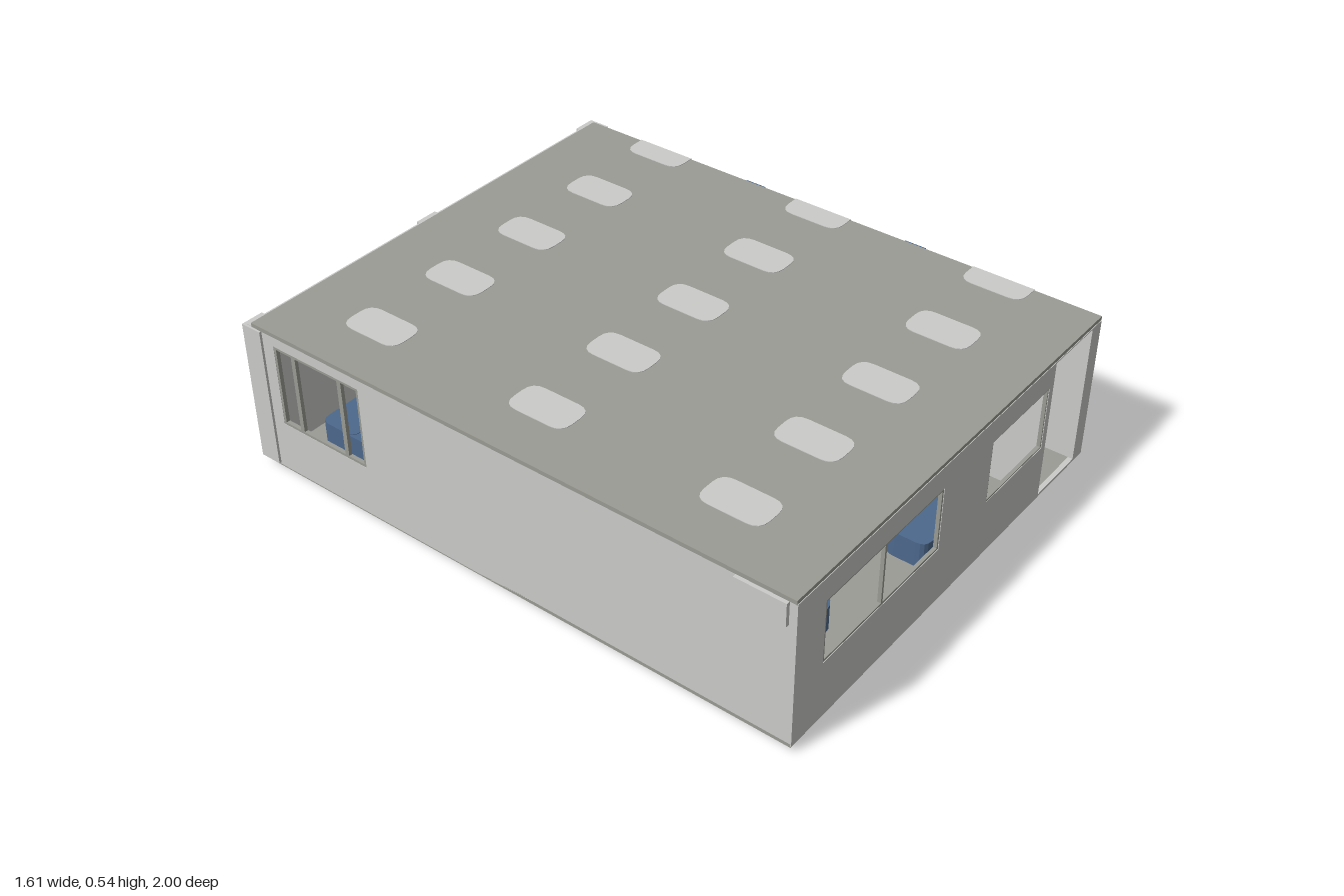
import * as THREE from 'three';

export function createModel() {
  const model = new THREE.Group();
  const mat = (name, color) => new THREE.MeshStandardMaterial({ name, color });
  const wallMat = mat('pale wall', 0xcbcbc9);
  const slabMat = mat('grey slab', 0x9c9c95);
  const blueMat = mat('blue', 0x4d698d);

  const add = (name, geo, material) => {
    const mesh = new THREE.Mesh(geo, material);
    mesh.name = name;
    model.add(mesh);
    return mesh;
  };
  // Box given by its limits on each axis
  const box = (name, x0, x1, y0, y1, z0, z1, material) => {
    const mesh = add(name, new THREE.BoxGeometry(x1 - x0, y1 - y0, z1 - z0), material);
    mesh.position.set((x0 + x1) / 2, (y0 + y1) / 2, (z0 + z1) / 2);
    return mesh;
  };
  const trace = (path, a0, a1, b0, b1) => {
    path.moveTo(a0, b0);
    path.lineTo(a1, b0);
    path.lineTo(a1, b1);
    path.lineTo(a0, b1);
    path.closePath();
    return path;
  };
  // Upright panel with rectangular openings
  const panel = (name, limits, holes, depth, material) => {
    const shape = trace(new THREE.Shape(), ...limits);
    holes.forEach(h => shape.holes.push(trace(new THREE.Path(), ...h)));
    return add(name, new THREE.ExtrudeGeometry(shape, { depth, bevelEnabled: false }), material);
  };
  const frame = (name, [a0, a1, b0, b1], t, depth) =>
    panel(name, [a0, a1, b0, b1], [[a0 + t, a1 - t, b0 + t, b1 - t]], depth, slabMat);
  // Flat block with rounded plan corners
  const rounded = (name, x0, x1, z0, z1, y0, y1, r, material) => {
    const s = new THREE.Shape();
    const [a, b] = [-z1, -z0];
    s.moveTo(x0 + r, a);
    s.lineTo(x1 - r, a);
    s.quadraticCurveTo(x1, a, x1, a + r);
    s.lineTo(x1, b - r);
    s.quadraticCurveTo(x1, b, x1 - r, b);
    s.lineTo(x0 + r, b);
    s.quadraticCurveTo(x0, b, x0, b - r);
    s.lineTo(x0, a + r);
    s.quadraticCurveTo(x0, a, x0 + r, a);
    const geo = new THREE.ExtrudeGeometry(s, { depth: y1 - y0, bevelEnabled: false, curveSegments: 4 });
    geo.rotateX(-Math.PI / 2);
    add(name, geo, material).position.y = y0;
  };

  // Floor and roof slabs
  box('floor', -0.795, 0.775, 0.02, 0.032, -0.965, 0.998, slabMat);
  box('roof', -0.797, 0.777, 0.521, 0.535, -0.965, 0.998, slabMat);

  // Skylights; the last column stops at the roof edge
  for (const z of [-0.645, -0.002, 0.664]) {
    for (const x of [-0.575, -0.24, 0.09, 0.425]) {
      rounded('skylight', x - 0.063, x + 0.063, z - 0.107, z + 0.107, 0.52, 0.537, 0.045, wallMat);
    }
    const s = new THREE.Shape();
    s.moveTo(0.779, -z - 0.107);
    s.lineTo(0.779, -z + 0.107);
    s.lineTo(0.735, -z + 0.107);
    s.quadraticCurveTo(0.692, -z + 0.107, 0.692, -z + 0.062);
    s.lineTo(0.692, -z - 0.062);
    s.quadraticCurveTo(0.692, -z - 0.107, 0.735, -z - 0.107);
    s.closePath();
    const geo = new THREE.ExtrudeGeometry(s, { depth: 0.017, bevelEnabled: false, curveSegments: 4 });
    geo.rotateX(-Math.PI / 2);
    add('edgeSkylight', geo, wallMat).position.y = 0.52;
  }

  // Outer walls
  const bigWindow = [-0.665, -0.1, 0.225, 0.442];
  const smallWindow = [0.158, 0.478, 0.225, 0.442];
  panel('frontWall', [-0.795, 0.775, 0.024, 0.522],
    [bigWindow, smallWindow, [0.502, 0.72, 0.033, 0.518]], 0.016, wallMat).position.z = 0.984;
  box('leftWall', 0.76, 0.775, 0.024, 0.522, -0.97, 0.984, wallMat);
  box('backWall', -0.795, 0.785, 0.024, 0.522, -0.986, -0.968, wallMat);
  const sideWindow = [-0.88, -0.53, 0.2, 0.485];
  const side = panel('rightWall', [-0.97, 0.984, 0.024, 0.522], [sideWindow], 0.015, wallMat);
  side.rotation.y = -Math.PI / 2;
  side.position.x = -0.78;

  // Window frames and mullions
  frame('bigWindowFrame', bigWindow, 0.007, 0.012).position.z = 0.986;
  box('bigWindowMullion', -0.389, -0.381, 0.23, 0.437, 0.986, 0.998, slabMat);
  frame('smallWindowFrame', smallWindow, 0.005, 0.012).position.z = 0.986;
  const sideFrame = frame('sideWindowFrame', sideWindow, 0.009, 0.013);
  sideFrame.rotation.y = -Math.PI / 2;
  sideFrame.position.x = -0.781;
  for (const z of [-0.8, -0.61]) box('sideWindowMullion', -0.794, -0.782, 0.2, 0.485, z - 0.008, z + 0.008, slabMat);

  // Recessed entrance with door and side light
  box('porchSideWall', 0.49, 0.502, 0.033, 0.52, 0.83, 0.985, wallMat);
  box('porchSideWall', 0.72, 0.732, 0.033, 0.52, 0.83, 0.985, wallMat);
  const sideLight = [0.507, 0.564, 0.045, 0.442];
  const door = [0.568, 0.715, 0.035, 0.442];
  panel('porchBackWall', [0.49, 0.732, 0.032, 0.52], [sideLight, door], 0.012, wallMat).position.z = 0.825;
  frame('sideLightFrame', sideLight, 0.006, 0.022).position.z = 0.82;
  frame('doorFrame', door, 0.006, 0.022).position.z = 0.82;

  // Rear columns and blue side columns
  box('rearColumn', -0.803, -0.725, 0.03, 0.52, -1, -0.968, wallMat);
  box('rearCornerReturn', -0.803, -0.79, 0.03, 0.52, -0.97, -0.925, wallMat);
  box('rearColumn', -0.065, 0.018, 0.03, 0.52, -1, -0.98, wallMat);
  box('rearColumn', 0.725, 0.805, 0.03, 0.52, -1, -0.968, wallMat);
  box('rearCornerReturn', 0.77, 0.805, 0.03, 0.52, -0.97, -0.925, wallMat);
  for (const z of [0.333, -0.287]) box('blueColumn', 0.77, 0.805, 0.03, 0.518, z - 0.038, z + 0.038, blueMat);

  // Wall unit and front step
  box('wallUnit', -0.808, -0.79, 0.442, 0.52, 0.81, 0.975, wallMat);
  box('frontStep', -0.065, 0.02, 0, 0.024, 0.93, 0.98, wallMat);

  // Furniture, its feet just showing through the floor: x, z, width, depth, height
  [
    [0.292, -0.462, 0.085, 0.615, 0.12], [0.228, -0.72, 0.215, 0.1, 0.118],
    [-0.055, -0.775, 0.25, 0.055, 0.15], [-0.485, -0.78, 0.39, 0.14, 0.16],
    [-0.615, -0.64, 0.13, 0.42, 0.158], [-0.15, -0.58, 0.11, 0.12, 0.1],
    [0.17, -0.295, 0.045, 0.28, 0.1], [0.01, -0.01, 0.07, 0.07, 0.1],
    [-0.27, -0.25, 0.13, 0.13, 0.1], [-0.04, 0.17, 0.24, 0.12, 0.12],
    [0.15, 0.55, 0.2, 0.13, 0.12], [0.12, 0.84, 0.25, 0.14, 0.12],
    [-0.33, 0.38, 0.08, 0.09, 0.1], [-0.55, 0.12, 0.17, 0.17, 0.12],
    [-0.61, -0.17, 0.22, 0.2, 0.12], [-0.5, 0.71, 0.32, 0.25, 0.12],
  ].forEach(([x, z, w, d, h]) =>
    rounded('furniture', x - w / 2, x + w / 2, z - d / 2, z + d / 2, 0.017, h, Math.min(w, d) * 0.25, blueMat));

  return model;
}
